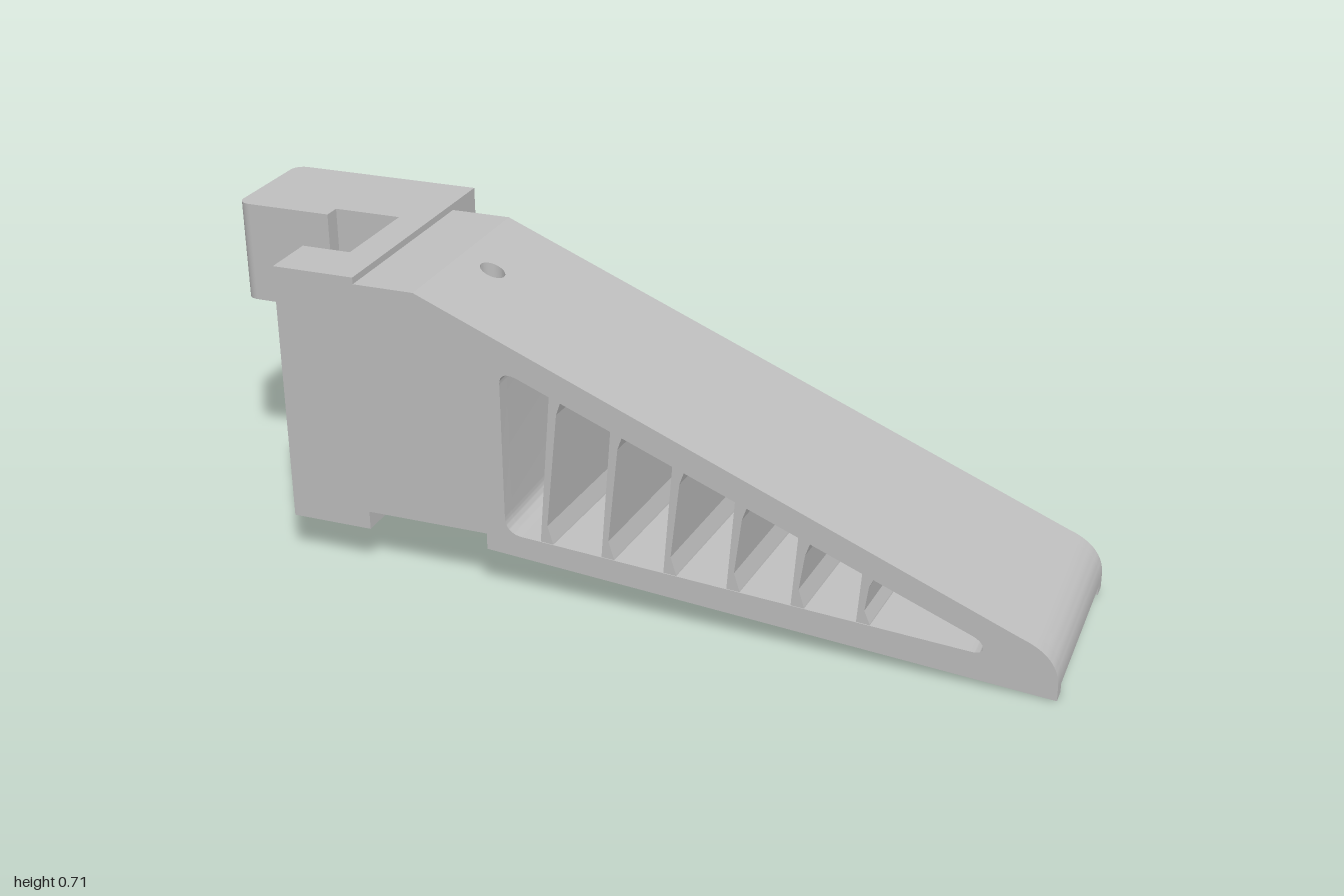
import * as THREE from 'three';
import { toCreasedNormals } from 'three/addons/utils/BufferGeometryUtils.js';

const BACK = -0.304, FRONT = 0.288, WEDGE_BACK = -0.19;
const TOP = 0.705, BASE = 0.107;

export function createModel() {
  const grey = new THREE.MeshStandardMaterial({ color: 0xbdbdbd });
  grey.name = 'grey plastic';
  const model = new THREE.Group();
  model.name = 'wedgeBracket';
  const body = new THREE.Group();
  body.name = 'tiltedBody';
  body.rotation.x = 0.027;
  model.add(body);

  const add = (name, geometry) => {
    const mesh = new THREE.Mesh(geometry, grey);
    mesh.name = name;
    body.add(mesh);
    return mesh;
  };
  const box = (name, x0, x1, y0, y1, z0, z1) => {
    const g = new THREE.BoxGeometry(x1 - x0, y1 - y0, z1 - z0);
    return add(name, g.translate((x0 + x1) / 2, (y0 + y1) / 2, (z0 + z1) / 2));
  };
  const polygon = (points) => new THREE.Shape(points.map(([x, y]) => new THREE.Vector2(x, y)));
  const extrude = (shape, depth) =>
    new THREE.ExtrudeGeometry(shape, { depth, bevelEnabled: false, curveSegments: 16 });
  const circle = (x, y, r) => new THREE.Path().absarc(x, y, r, 0, Math.PI * 2, true);

  // Block extruded along x with a round bore
  const boredBlock = (name, x0, x1, y0, y1, z0, z1, holeZ, holeY, r) => {
    const shape = polygon([[-z1, y0], [-z0, y0], [-z0, y1], [-z1, y1]]);
    shape.holes.push(circle(-holeZ, holeY, r));
    const g = extrude(shape, x1 - x0).rotateY(Math.PI / 2).translate(x0, 0, 0);
    add(name, toCreasedNormals(g, 0.6));
  };

  // Clamp head: plate, front arm, back block and overhanging upper block
  box('headPlate', -0.605, -0.53, BASE, TOP, BACK, FRONT);
  box('frontArm', -0.72, -0.605, BASE, TOP, 0.16, FRONT);
  boredBlock('backArm', -0.765, -0.605, BASE, TOP, BACK, -0.07, -0.165, 0.29, 0.02);
  const r = 0.03, low = 0.47, upFront = -0.03;
  boredBlock('upperBlock', -1 + r, -0.765, low, TOP, BACK, upFront, -0.12, 0.555, 0.02);
  boredBlock('upperBlockFace', -1, -1 + r, low, TOP, BACK + r, upFront - r, -0.12, 0.555, 0.02);
  for (const z of [BACK + r, upFront - r]) {
    const g = new THREE.CylinderGeometry(r, r, TOP - low, 32);
    add('roundedCorner', g.translate(-1 + r, (TOP + low) / 2, z));
  }

  // Neck between head and wedge, with a vertical screw hole in its sloped half
  const ridgeX = -0.39, stepX = -0.245, ridgeY = 0.69, neckY = 0.15;
  const slopeY = (x) => ridgeY - 0.422 * (x - ridgeX);
  box('neck', -0.53, ridgeX, neckY, ridgeY, WEDGE_BACK, FRONT);
  const plan = polygon([[ridgeX, -FRONT], [stepX, -FRONT], [stepX, -WEDGE_BACK], [ridgeX, -WEDGE_BACK]]);
  plan.holes.push(circle(-0.32, -0.049, 0.027));
  const neckGeo = extrude(plan, 1).rotateX(-Math.PI / 2);
  const p = neckGeo.attributes.position;
  for (let i = 0; i < p.count; i++) p.setY(i, p.getY(i) > 0.5 ? slopeY(p.getX(i)) : neckY);
  neckGeo.computeVertexNormals();
  add('boredNeck', toCreasedNormals(neckGeo, 0.35));

  // Wedge profile with a rounded tip; lift raises the underside to form the tray
  const bottomY = (x) => 0.0085 + (1 - x) * 0.0835;
  const wedgeShape = (lift) => {
    const s = new THREE.Shape();
    s.moveTo(stepX, bottomY(stepX));
    if (lift) {
      s.lineTo(-0.19, bottomY(-0.19));
      s.lineTo(-0.19, bottomY(-0.19) + lift);
    }
    s.lineTo(1, bottomY(1) + lift);
    s.lineTo(1, 0.04);
    s.quadraticCurveTo(1, slopeY(0.985), 0.92, slopeY(0.92));
    s.lineTo(stepX, slopeY(stepX));
    s.closePath();
    // Tapered side window
    const w = new THREE.Path();
    w.moveTo(-0.2, 0.2);
    w.lineTo(-0.2, 0.51);
    w.quadraticCurveTo(-0.2, 0.545, -0.16, 0.53);
    w.lineTo(0.82, 0.123);
    w.quadraticCurveTo(0.845, 0.112, 0.845, 0.098);
    w.quadraticCurveTo(0.845, 0.083, 0.82, 0.085);
    w.lineTo(-0.16, 0.157);
    w.quadraticCurveTo(-0.2, 0.16, -0.2, 0.2);
    s.holes.push(w);
    return s;
  };
  const slices = [
    ['backSide', WEDGE_BACK, -0.155, 0],
    ['wedgeCore', -0.155, 0.252, 0.02],
    ['frontSide', 0.252, FRONT, 0],
  ];
  for (const [name, z0, z1, lift] of slices) {
    const g = extrude(wedgeShape(lift), z1 - z0).translate(0, 0, z0);
    add(name, toCreasedNormals(g, 0.35));
  }

  // Leaning ribs across the window, skewed from front to back and flared at the ends
  const windowBottom = (x) => 0.16 - (x + 0.2) * 0.073;
  const windowTop = (x) => 0.535 - (x + 0.17) * 0.415;
  for (let i = 0; i < 6; i++) {
    const xb = -0.12 + i * 0.14, xt = xb + 0.032 - i * 0.004;
    const yb = windowBottom(xb), yt = windowTop(xt);
    const f = Math.min(0.04, (yt - yb) * 0.25);
    const rib = polygon([
      [xb, yb - 0.02], [xb + 0.035, yb - 0.02], [xb + 0.03, yb], [xb + 0.018, yb + f],
      [xt + 0.014, yt - f], [xt + 0.026, yt - 0.005], [xt + 0.026, yt + 0.015], [xt, yt + 0.015],
    ]);
    const depth = FRONT - WEDGE_BACK - 0.004;
    const g = extrude(rib, depth).translate(0, 0, WEDGE_BACK + 0.002);
    const q = g.attributes.position;
    for (let j = 0; j < q.count; j++) q.setX(j, q.getX(j) + (FRONT - q.getZ(j)) / depth * 0.03);
    g.computeVertexNormals();
    add('rib', g);
  }
  return model;
}
